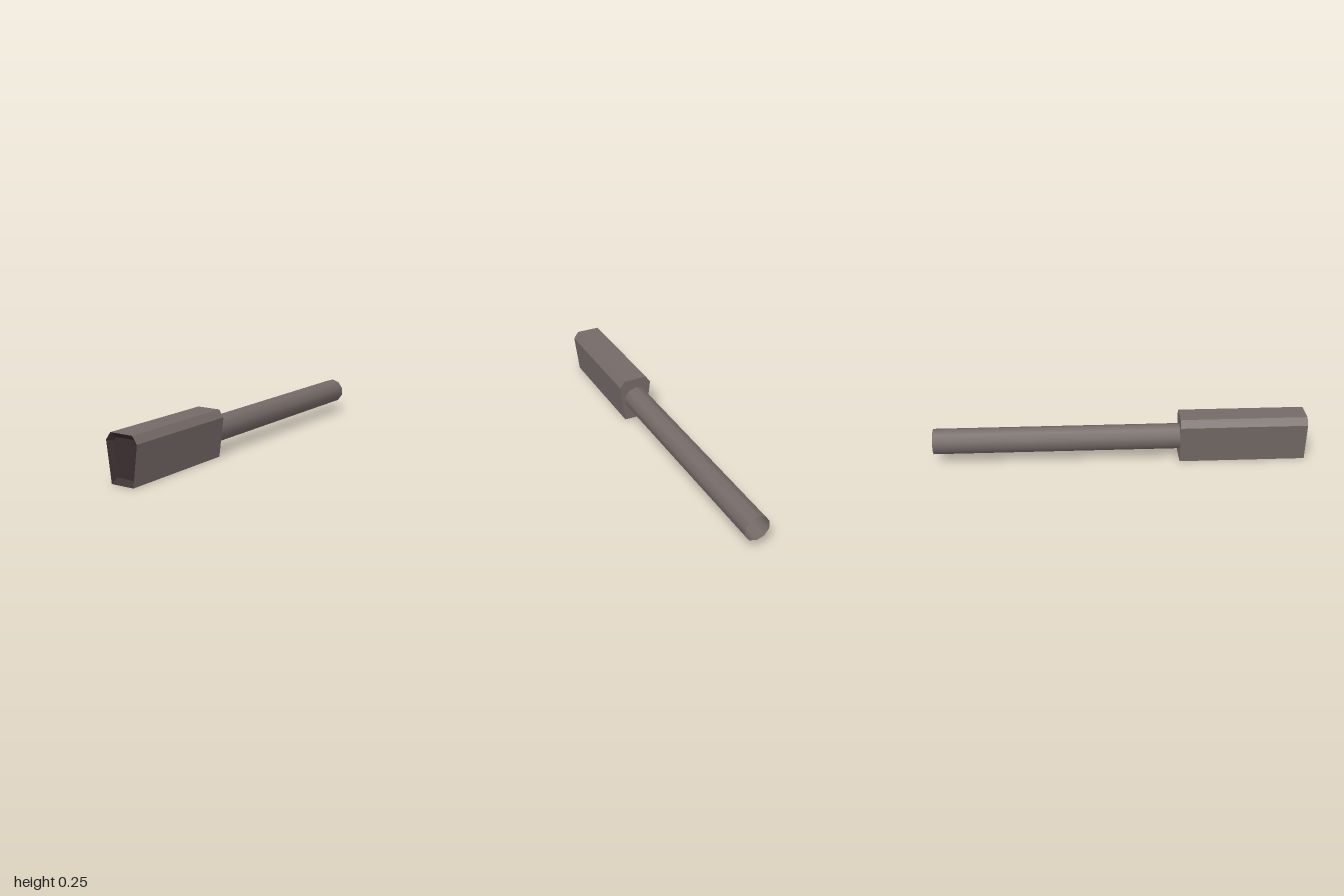
import * as THREE from 'three';

// Symmetric six-sided cross-section, counter-clockwise seen from the front
const section = (bottomX, bottomY, wideX, wideY, topX, topY) => [
  [-bottomX, bottomY], [bottomX, bottomY], [wideX, wideY],
  [topX, topY], [-topX, topY], [-wideX, wideY],
];

// Flat-shaded band of quads joining section a at za to section b at zb
function loft(a, za, b, zb) {
  const pos = [];
  a.forEach((p, i) => {
    const j = (i + 1) % a.length;
    const q = [[...p, za], [...a[j], za], [...b[j], zb], [...b[i], zb]];
    for (const k of [0, 1, 2, 0, 2, 3]) pos.push(...q[k]);
  });
  const g = new THREE.BufferGeometry();
  g.setAttribute('position', new THREE.Float32BufferAttribute(pos, 3));
  g.computeVertexNormals();
  return g;
}

const plate = (pts) =>
  new THREE.ShapeGeometry(new THREE.Shape(pts.map(([x, y]) => new THREE.Vector2(x, y))));

export function createModel() {
  const group = new THREE.Group();
  const metal = new THREE.MeshStandardMaterial({ color: 0x756b68, side: THREE.DoubleSide });
  metal.name = 'warm grey';
  const dark = new THREE.MeshStandardMaterial({ color: 0x3a2e2f });
  dark.name = 'dark brown';

  const add = (name, geometry, material) => {
    const mesh = new THREE.Mesh(geometry, material);
    mesh.name = name;
    group.add(mesh);
  };

  const outer = section(0.065, 0, 0.092, 0.21, 0.065, 0.248);
  const inner = section(0.053, 0.027, 0.065, 0.202, 0.053, 0.222);
  const front = 1, back = 0.32, recess = 0.975;

  // Tapered housing with a closed back
  add('housing', loft(outer, back, outer, front), metal);
  add('housingBack', plate(outer).rotateY(Math.PI).translate(0, 0, back), metal);

  // Sunken front panel with a sloping rim
  add('frontRim', loft(outer, front, inner, recess), dark);
  add('frontPanel', plate(inner).translate(0, 0, recess), dark);

  // Hollow ten-sided tube, open at the far end
  const length = back + 1;
  const tube = new THREE.CylinderGeometry(0.069, 0.069, length, 10, 1, true)
    .rotateX(-Math.PI / 2)
    .translate(-0.003, 0.125, back - length / 2);
  add('tube', tube, metal);

  return group;
}
